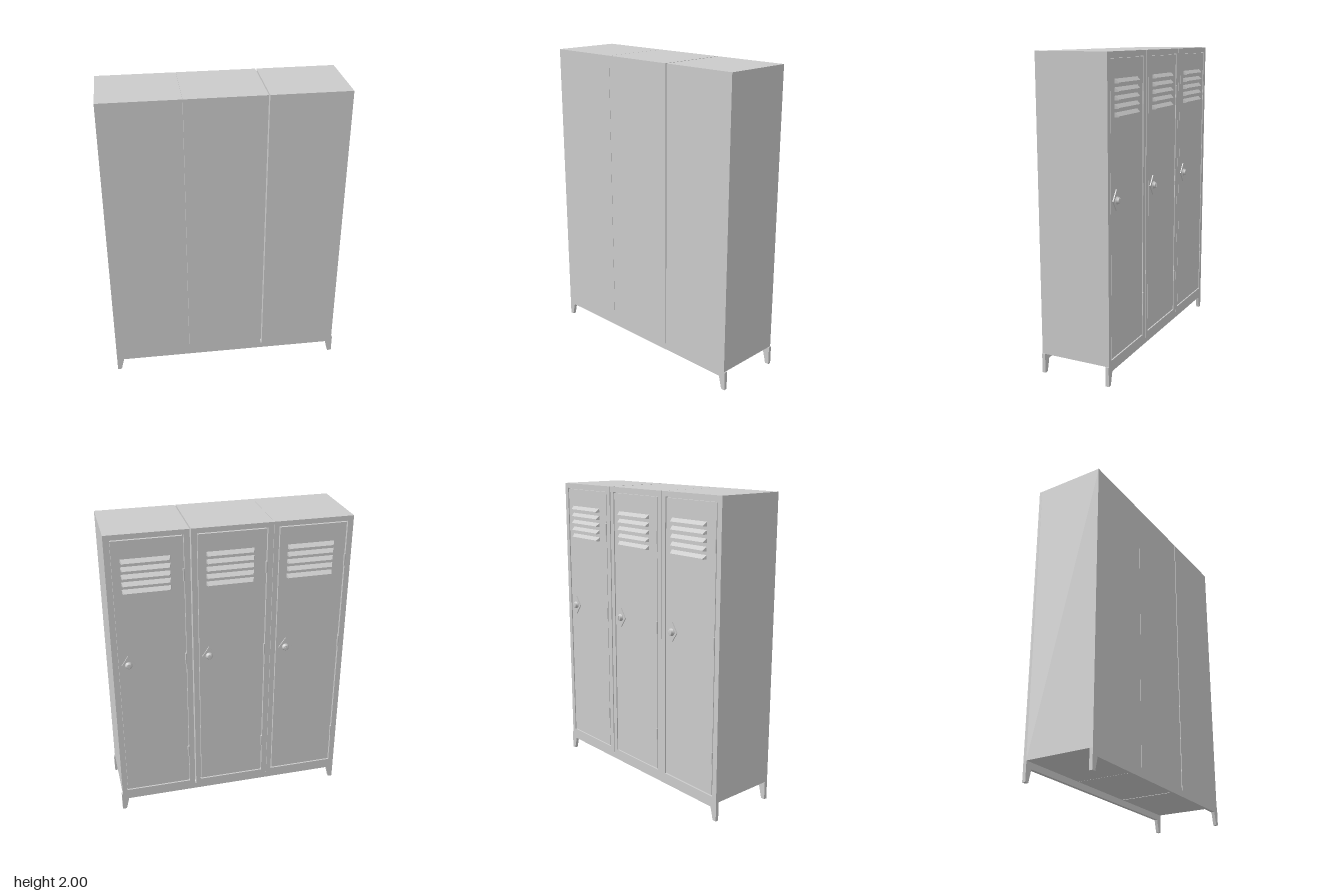
import * as THREE from 'three';

const material = new THREE.MeshStandardMaterial({ color: 0xcccccc });
const W = 0.511, BOTTOM = 0.125, TOP = 2, BACK = 0.25, FACE = -0.224, LIP = 0.02;

function add(parent, name, geometry, x = 0, y = 0, z = 0) {
  const mesh = new THREE.Mesh(geometry, material);
  mesh.name = name;
  mesh.position.set(x, y, z);
  parent.add(mesh);
  return mesh;
}

function polygon(points, Type = THREE.Shape) {
  return new Type(points.map(([x, y]) => new THREE.Vector2(x, y)));
}

const rect = (x0, y0, x1, y1) => [[x0, y0], [x1, y0], [x1, y1], [x0, y1]];
const extrude = (shape, depth) => new THREE.ExtrudeGeometry(shape, { depth, bevelEnabled: false });

// Vent hood: a box whose outer side tapers down to a thin lower lip
function hoodGeometry() {
  const g = new THREE.BoxGeometry(0.3, 0.026, 0.024).toNonIndexed();
  const p = g.attributes.position;
  for (let i = 0; i < p.count; i++) {
    if (p.getZ(i) > 0) continue;
    p.setX(i, p.getX(i) * 0.94);
    if (p.getY(i) > 0) p.setY(i, -0.008);
  }
  g.computeVertexNormals();
  return g;
}

// One locker, with its origin at the hinge-side edge
function createLocker() {
  const locker = new THREE.Group();
  locker.name = 'locker';
  const depth = BACK - FACE - LIP;
  add(locker, 'cabinet', new THREE.BoxGeometry(W, TOP - BOTTOM, depth),
    W / 2, (TOP + BOTTOM) / 2, BACK - depth / 2);

  // Front frame around the door opening
  const frame = polygon(rect(0, BOTTOM, W, TOP));
  frame.holes.push(polygon(rect(0.036, 0.157, W - 0.032, 1.968), THREE.Path));
  add(locker, 'doorFrame', extrude(frame, LIP), 0, 0, FACE);

  // Door panel, separated from the frame by a narrow groove
  add(locker, 'door', extrude(polygon(rect(0.043, 0.164, W - 0.039, 1.961)), LIP - 0.002), 0, 0, FACE + 0.002);

  // Five vent hoods
  const hood = hoodGeometry();
  for (let i = 0; i < 5; i++) add(locker, 'ventHood', hood, 0.27, 1.642 + i * 0.048, FACE - 0.01);

  // Three hinge barrels
  const barrel = new THREE.CylinderGeometry(0.006, 0.006, 0.078, 12);
  for (const y of [0.415, 1.14, 1.715]) add(locker, 'hinge', barrel, 0.042, y, FACE - 0.003);

  // Diamond lock plate with a round knob and a small grip
  const plate = polygon([[0, -0.065], [0.045, 0], [0, 0.065], [-0.045, 0]]);
  add(locker, 'lockPlate', extrude(plate, 0.008), 0.41, 1.14, FACE - 0.005);
  const profile = [[0, 0], [0.024, 0], [0.024, 0.007], [0.018, 0.009], [0.018, 0.02], [0.015, 0.023], [0, 0.023]];
  const knob = new THREE.LatheGeometry(profile.map(([r, h]) => new THREE.Vector2(r, h)), 24);
  add(locker, 'knob', knob, 0.41, 1.14, FACE - 0.003).rotation.x = -Math.PI / 2;
  add(locker, 'knobGrip', new THREE.BoxGeometry(0.007, 0.03, 0.008), 0.41, 1.14, -0.247);
  return locker;
}

export function createModel() {
  const model = new THREE.Group();
  model.name = 'lockerRow';

  for (const x of [-0.775, -0.262, 0.257]) {
    const locker = createLocker();
    locker.position.x = x;
    model.add(locker);
  }

  // Front and rear base rails, each with two tapered feet
  const half = [[0.775, BOTTOM], [0.775, 0], [0.748, 0], [0.727, 0.085]];
  const mirrored = half.map(([x, y]) => [-x, y]).reverse();
  const rail = extrude(polygon([...half, ...mirrored]), 0.022);
  add(model, 'frontBaseRail', rail, 0, 0, BACK - 0.022);
  add(model, 'rearBaseRail', rail, 0, 0, FACE);
  return model;
}
